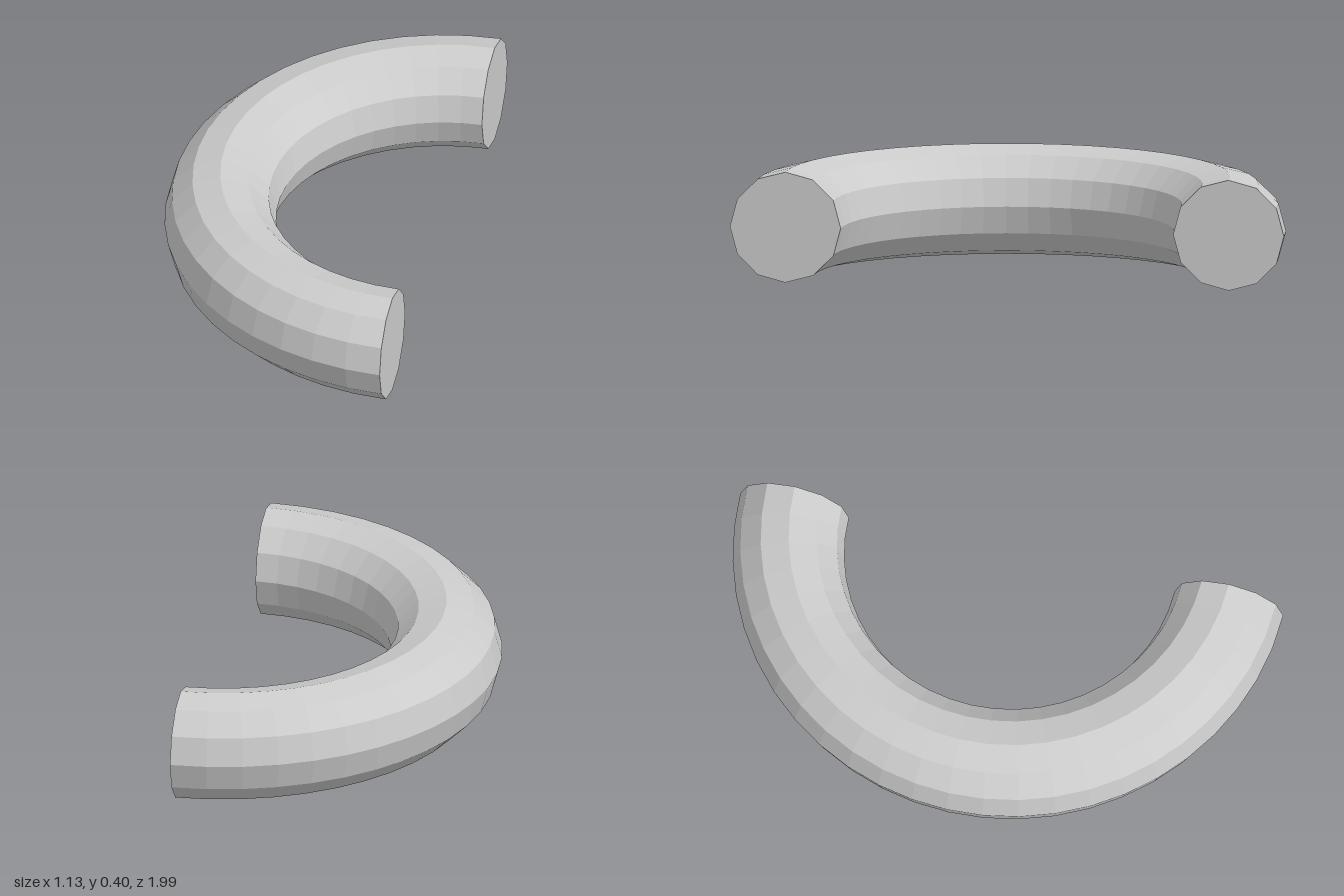
import * as THREE from 'three';

const RING = 0.8, TUBE = 0.2, SIDES = 12, STEPS = 24;
const START = THREE.MathUtils.degToRad(82.5); // the half ring is turned 7.5 degrees

export function createModel() {
  const group = new THREE.Group();
  const material = new THREE.MeshStandardMaterial({ color: 0xcccccc, flatShading: true });

  // Lay a geometry built around the z axis flat on the ground and centre it
  const add = (geometry, name) => {
    geometry.rotateZ(START).rotateX(Math.PI / 2);
    geometry.translate(RING + TUBE - 0.565, TUBE, 0);
    const mesh = new THREE.Mesh(geometry, material);
    mesh.name = name;
    group.add(mesh);
  };

  // Half ring tube
  add(new THREE.TorusGeometry(RING, TUBE, SIDES, STEPS, Math.PI), 'halfRing');

  // Flat discs closing both ends
  const cap = (tilt, turn) =>
    new THREE.CircleGeometry(TUBE, SIDES).rotateX(tilt).translate(RING, 0, 0).rotateZ(turn);
  add(cap(Math.PI / 2, 0), 'frontEndCap');
  add(cap(-Math.PI / 2, Math.PI), 'backEndCap');

  return group;
}
